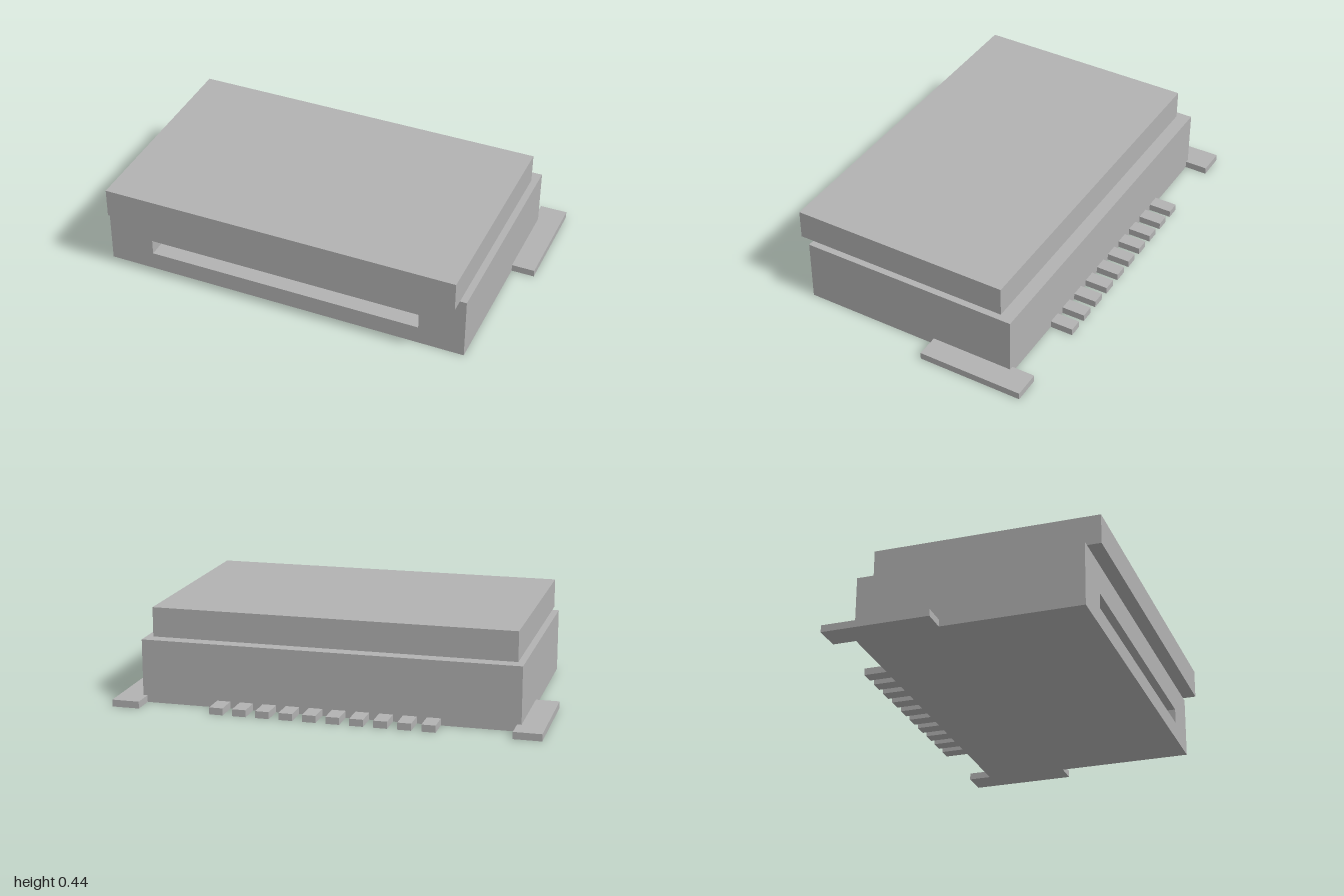
import * as THREE from 'three';

export function createModel() {
  const model = new THREE.Group();
  model.name = 'cardConnector';
  const grey = new THREE.MeshStandardMaterial({ color: 0xb2b2b2 });
  grey.name = 'plain grey';

  const add = (name, geometry) => {
    const mesh = new THREE.Mesh(geometry, grey);
    mesh.name = name;
    model.add(mesh);
    return mesh;
  };
  // Box given by its limits on each axis
  const block = (name, x0, x1, y0, y1, z0, z1) =>
    add(name, new THREE.BoxGeometry(x1 - x0, y1 - y0, z1 - z0))
      .position.set((x0 + x1) / 2, (y0 + y1) / 2, (z0 + z1) / 2);
  const rectangle = (path, x, y0, y1) =>
    path.moveTo(-x, y0).lineTo(x, y0).lineTo(x, y1).lineTo(-x, y1).closePath();

  // Housing: front shell with the card slot, closed by a solid rear block
  const back = -0.505, front = 0.55, slotEnd = 0;
  const face = rectangle(new THREE.Shape(), 0.89, 0, 0.3);
  face.holes.push(rectangle(new THREE.Path(), 0.67, 0.087, 0.16));
  add('slottedHousing', new THREE.ExtrudeGeometry(face, { depth: front - slotEnd, bevelEnabled: false }))
    .position.z = slotEnd;
  block('rearHousing', -0.89, 0.89, 0, 0.3, back, slotEnd);

  // Lid overhanging the front
  block('lid', -0.858, 0.858, 0.3, 0.44, -0.44, 0.615);

  // Mounting tabs at the rear corners
  block('leftTab', 0.87, 1, 0, 0.033, -0.615, -0.11);
  block('rightTab', -1, -0.87, 0, 0.033, -0.615, -0.11);

  // Row of contact pins along the back
  for (let i = 0; i < 10; i++) {
    const x = (i - 4.5) * 0.11;
    block(`pin${i + 1}`, x - 0.032, x + 0.032, 0, 0.033, -0.615, back);
  }
  return model;
}
